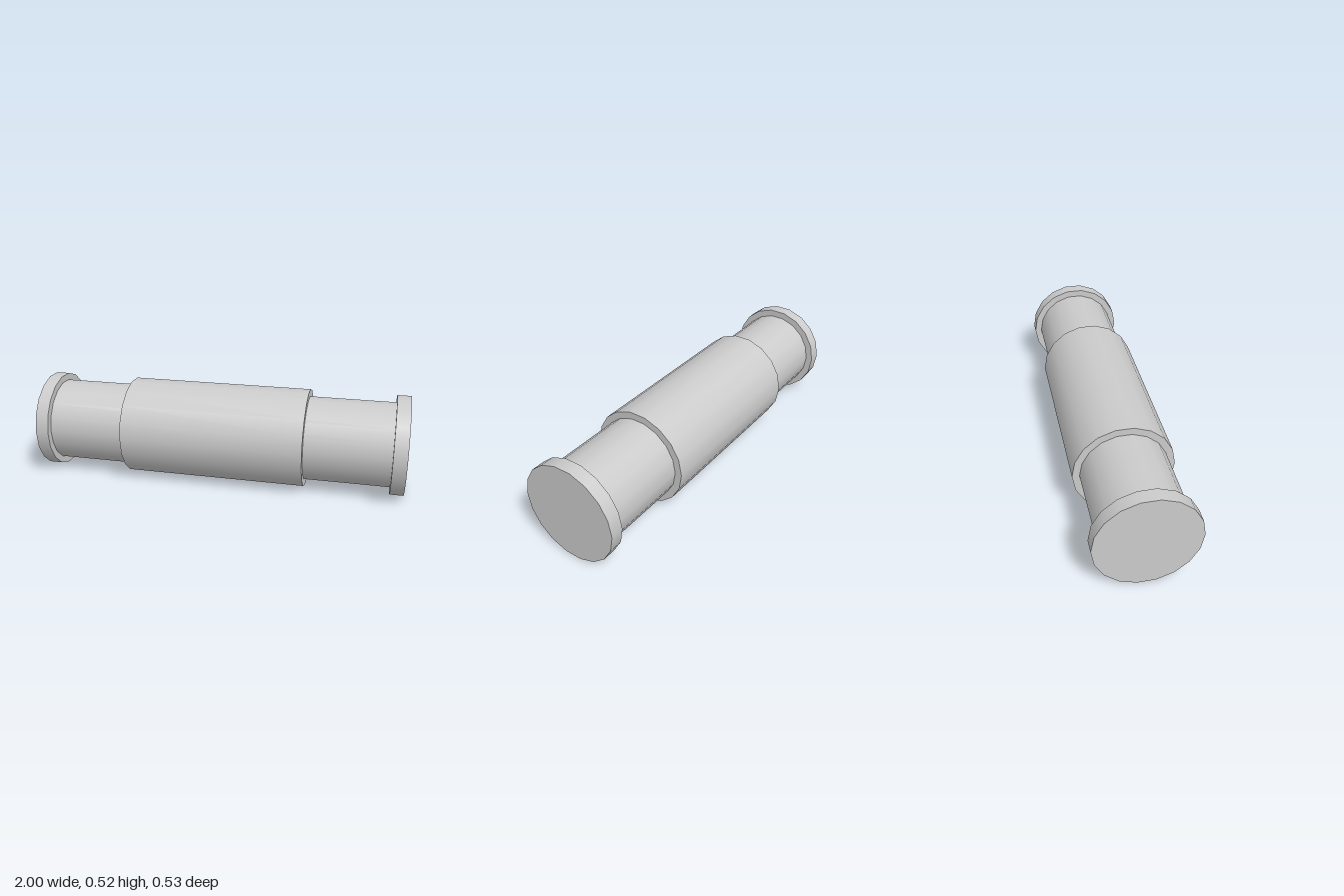
import * as THREE from 'three';

const SIDES = 18;
const RADIUS = 0.264;
const AXIS_Y = RADIUS * Math.cos(Math.PI / SIDES); // rests on a flat side

export function createModel() {
  const model = new THREE.Group();
  const material = new THREE.MeshStandardMaterial({ color: 0xcccccc });

  // Cylinder lying along x between two positions
  const addCylinder = (name, x0, x1, radius) => {
    const geometry = new THREE.CylinderGeometry(radius, radius, x1 - x0, SIDES);
    geometry.rotateZ(-Math.PI / 2);
    const mesh = new THREE.Mesh(geometry, material);
    mesh.name = name;
    mesh.position.set((x0 + x1) / 2, AXIS_Y, 0);
    model.add(mesh);
  };

  // Core running between the end flanges
  addCylinder('shaft', -0.93, 0.93, 0.226);

  // Thicker sleeve, slightly off centre
  addCylinder('sleeve', -0.507, 0.476, RADIUS);

  // End flanges
  addCylinder('rightFlange', -1, -0.928, RADIUS);
  addCylinder('leftFlange', 0.928, 1, RADIUS);

  return model;
}
